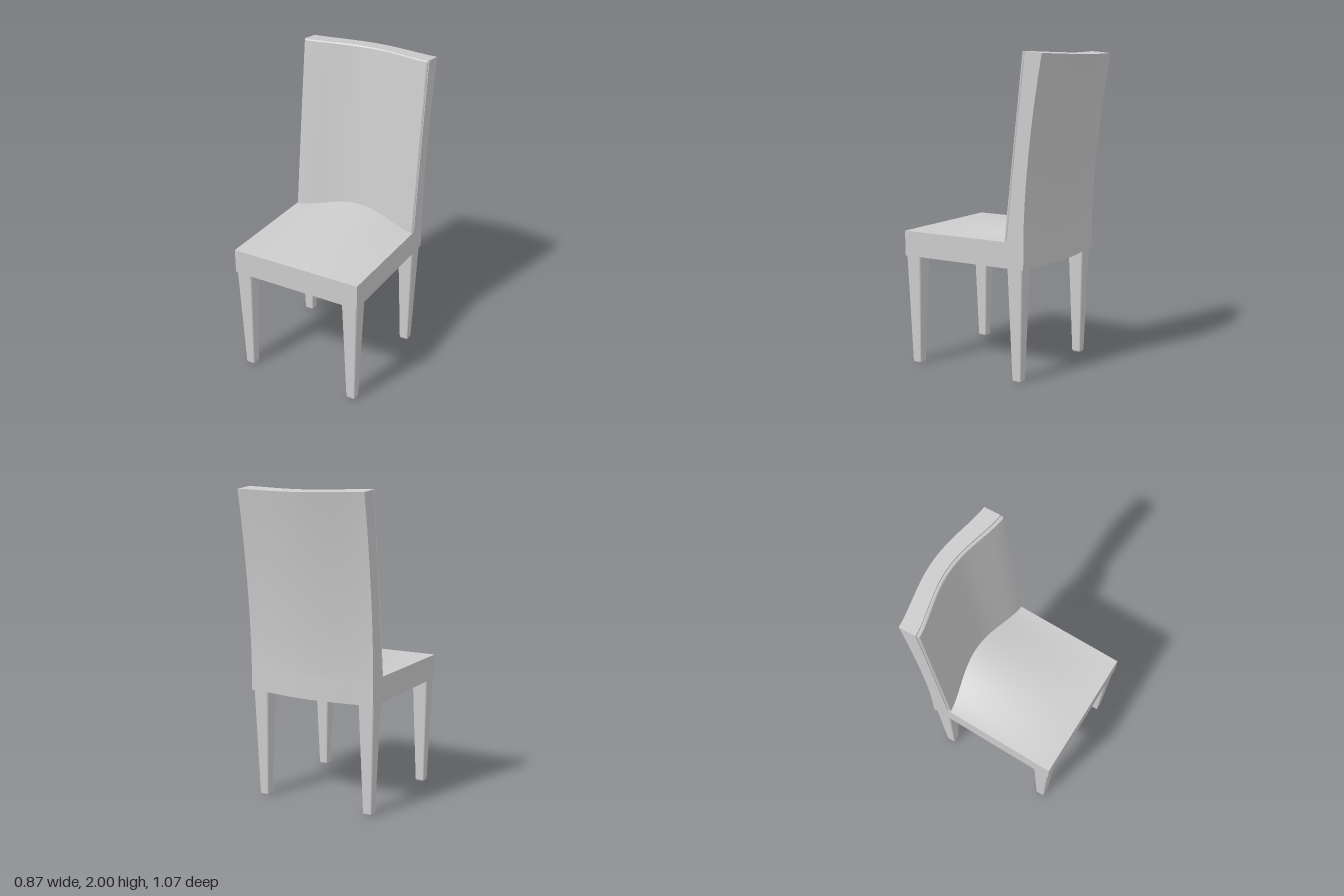
import * as THREE from 'three';
import { toCreasedNormals } from 'three/addons/utils/BufferGeometryUtils.js';
import { RoundedBoxGeometry } from 'three/addons/geometries/RoundedBoxGeometry.js';

const W = 0.437;        // half width of seat and backrest
const SEAT_BOTTOM = 0.71, SEAT_TOP = 0.87, SEAT_FRONT = 0.532;
const material = new THREE.MeshStandardMaterial({ color: 0xcccccc });

// Sideways arch shared by the seat and backrest: 0 at the sides, 1 in the middle
const arch = (x) => Math.pow(Math.max(0, Math.cos((Math.PI / 2) * Math.min(1, Math.abs(x) / W))), 1.5);
const rise = (y) => THREE.MathUtils.clamp((y - SEAT_TOP) / (2 - SEAT_TOP), 0, 1);

// Leaning, curved front and rear faces of the backrest
const frontZ = (x, y) => {
  const s = rise(y);
  return -0.21 - 0.126 * s - (0.07 + 0.01 * s) * arch(x);
};
const rearZ = (x, y) => {
  const s = rise(y);
  return -0.349 - 0.121 * Math.pow(s, 1.7) - (0.043 + 0.021 * s) * arch(x);
};

// Unit box (u: -1..1 across, v: 0..1 up, t: 0 front..1 rear) reshaped by a rule
function warpedBox(name, nx, ny, nz, rule) {
  const geo = new THREE.BoxGeometry(2, 1, 1, nx, ny, nz);
  const pos = geo.attributes.position;
  for (let i = 0; i < pos.count; i++) {
    const [x, y, z] = rule(pos.getX(i), pos.getY(i) + 0.5, 0.5 - pos.getZ(i));
    pos.setXYZ(i, x, y, z);
  }
  const mesh = new THREE.Mesh(toCreasedNormals(geo, 0.6), material);
  mesh.name = name;
  return mesh;
}

// Point inside the backrest; the top slopes down slightly to the rear
function backrestPoint(u, v, depth, inset) {
  const x = u * (W - inset);
  const y0 = SEAT_TOP - 0.01 + v * (2 - inset - SEAT_TOP + 0.01);
  const z = THREE.MathUtils.lerp(frontZ(x, y0), rearZ(x, y0), depth);
  return [x, y0 - v * 0.1 * Math.max(0, -0.336 - z), z];
}

function createLeg(x, z) {
  const height = 0.73;
  const geo = new RoundedBoxGeometry(0.107, height, 0.107, 3, 0.014);
  geo.translate(0, height / 2, 0);
  const pos = geo.attributes.position;
  for (let i = 0; i < pos.count; i++) {
    const k = 0.55 + 0.45 * Math.min(1, pos.getY(i) / SEAT_BOTTOM);
    pos.setX(i, pos.getX(i) * k);
    pos.setZ(i, pos.getZ(i) * k);
  }
  const leg = new THREE.Mesh(geo, material);
  leg.position.set(x, 0, z);
  return leg;
}

export function createModel() {
  const chair = new THREE.Group();
  chair.name = 'diningChair';

  // Seat: flat sides, top swelling towards the middle of the backrest
  chair.add(warpedBox('seat', 32, 1, 24, (u, v, t) => {
    const x = u * W;
    const z = THREE.MathUtils.lerp(SEAT_FRONT, rearZ(x, SEAT_TOP), t);
    const swell = z > -0.32 ? (SEAT_FRONT - z) / 0.81 : Math.max(0, (z + 0.37) / 0.05);
    const y = THREE.MathUtils.lerp(SEAT_BOTTOM, SEAT_TOP + 0.07 * arch(x) * Math.min(1, swell), v);
    return [x, y, z];
  }));

  // Backrest: front cushion with rounded edges, and the shell behind it
  const seam = 0.17;
  chair.add(warpedBox('backrestCushion', 32, 20, 6, (u, v, t) => {
    const round = 1 - Math.sin(Math.PI * (0.08 + 0.84 * t));
    return backrestPoint(u, v, t * seam, 0.012 * round);
  }));
  chair.add(warpedBox('backrestShell', 32, 20, 1, (u, v, t) =>
    backrestPoint(u, v, THREE.MathUtils.lerp(seam, 1, t), 0)));

  // Tapered legs
  const legs = new THREE.Group();
  legs.name = 'legs';
  for (const [end, z] of [['front', 0.473], ['rear', -0.283]]) {
    for (const [side, sign] of [['Left', 1], ['Right', -1]]) {
      const leg = createLeg(sign * 0.38, z);
      leg.name = end + side + 'Leg';
      legs.add(leg);
    }
  }
  chair.add(legs);
  return chair;
}
